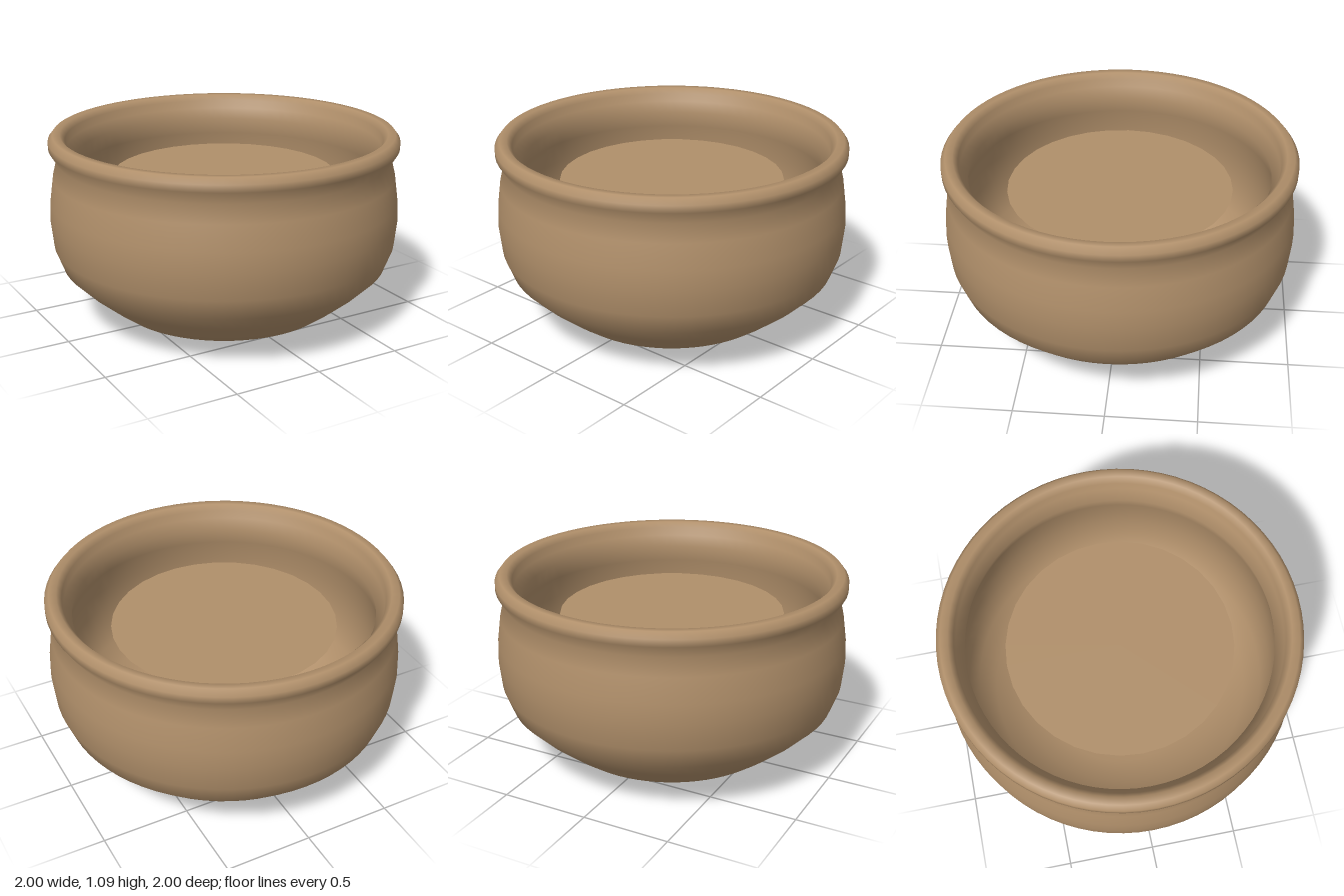
import * as THREE from 'three';

const toPoints = (list) => list.map(([r, y]) => new THREE.Vector2(r, y));

export function createModel() {
  const group = new THREE.Group();
  const clay = new THREE.MeshStandardMaterial({ color: 0xb08f6a });
  clay.name = 'clay brown';

  // Outer wall, from the base centre up to the neck
  const outerWall = [
    [0, 0], [0.3, 0.01], [0.52, 0.03], [0.64, 0.07], [0.72, 0.13],
    [0.84, 0.23], [0.94, 0.33], [0.985, 0.45], [1, 0.6], [0.995, 0.71],
    [0.975, 0.85], [0.95, 0.95],
  ];
  // Rolled lip, over the top and down to the inner neck
  const lip = [
    [0.993, 1.02], [0.993, 1.06], [0.967, 1.093], [0.925, 1.092],
    [0.898, 1.06], [0.892, 1.01], [0.85, 0.95],
  ];
  // Inner wall, from the neck down to the floor
  const innerWall = [
    [0.875, 0.85], [0.895, 0.72], [0.9, 0.6], [0.885, 0.47], [0.84, 0.36],
    [0.75, 0.26], [0.62, 0.17], [0.48, 0.12], [0.28, 0.1], [0, 0.09],
  ];
  const profile = toPoints([...outerWall, ...lip, ...innerWall]);
  const bowl = new THREE.Mesh(new THREE.LatheGeometry(profile, 72), clay);
  bowl.name = 'bowl';
  group.add(bowl);

  // Flat disc set inside, a little below the lip
  const disc = new THREE.Mesh(new THREE.CircleGeometry(0.64, 32), clay);
  disc.geometry.rotateX(-Math.PI / 2);
  disc.position.y = 0.84;
  disc.name = 'contentsSurface';
  group.add(disc);

  return group;
}
